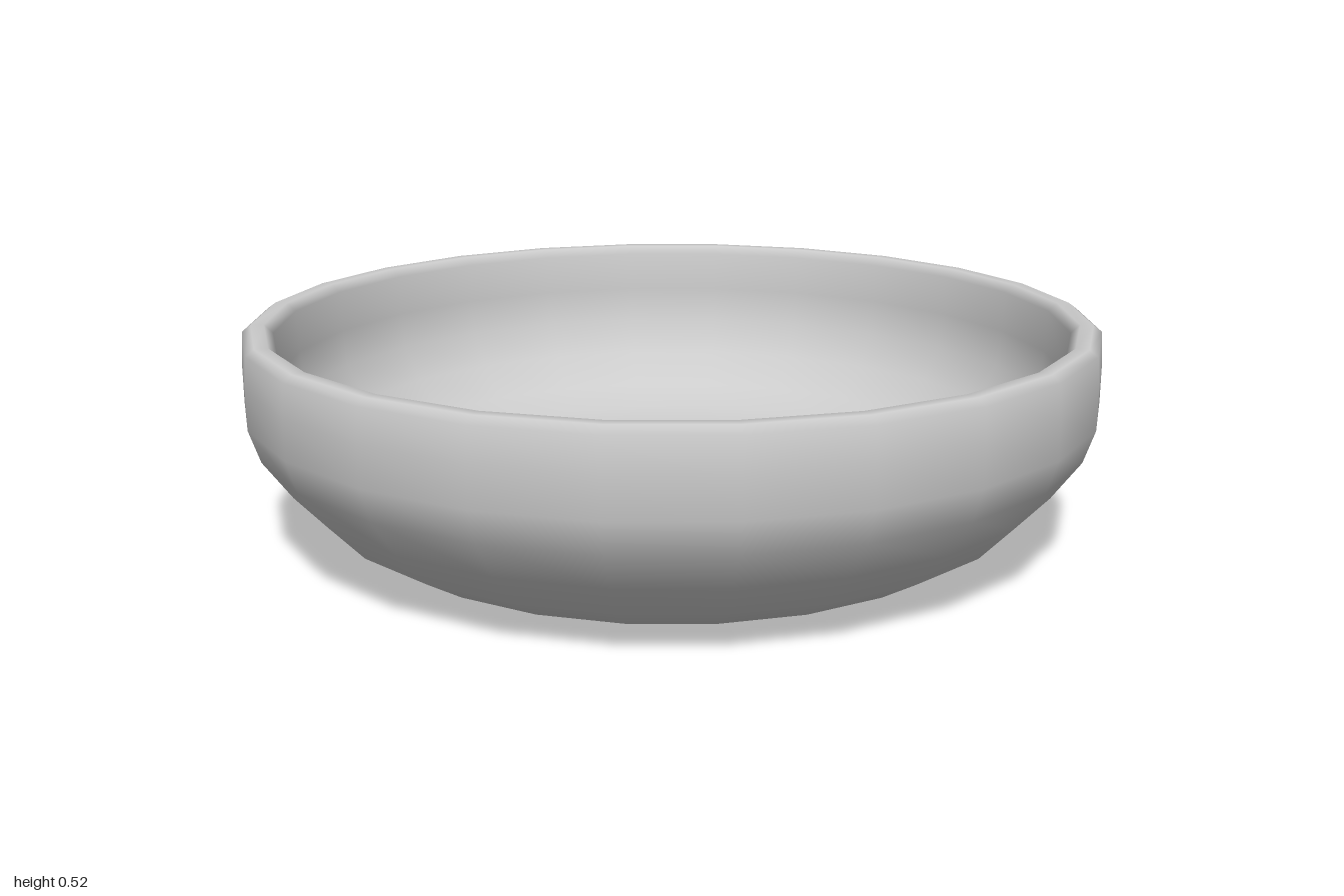
import * as THREE from 'three';

export function createModel() {
  const group = new THREE.Group();
  const material = new THREE.MeshStandardMaterial({ color: 0xcccccc });

  // Closed wall section: underside, outer wall, rim, inner wall, gently dished floor
  const profile = [
    [0, 0], [0.3, 0], [0.48, 0.002], [0.62, 0.008], [0.73, 0.03], [0.83, 0.09],
    [0.91, 0.175], [0.975, 0.265], [1, 0.34], [1, 0.43], [0.995, 0.505], [0.975, 0.52],
    [0.945, 0.52], [0.925, 0.5], [0.92, 0.4], [0.912, 0.31], [0.86, 0.225],
    [0.785, 0.148], [0.7, 0.105], [0.59, 0.086], [0.45, 0.08], [0.25, 0.077], [0, 0.076],
  ].map(([r, y]) => new THREE.Vector2(r, y));

  const bowl = new THREE.Mesh(new THREE.LatheGeometry(profile, 24), material);
  bowl.name = 'bowl';
  group.add(bowl);
  return group;
}
